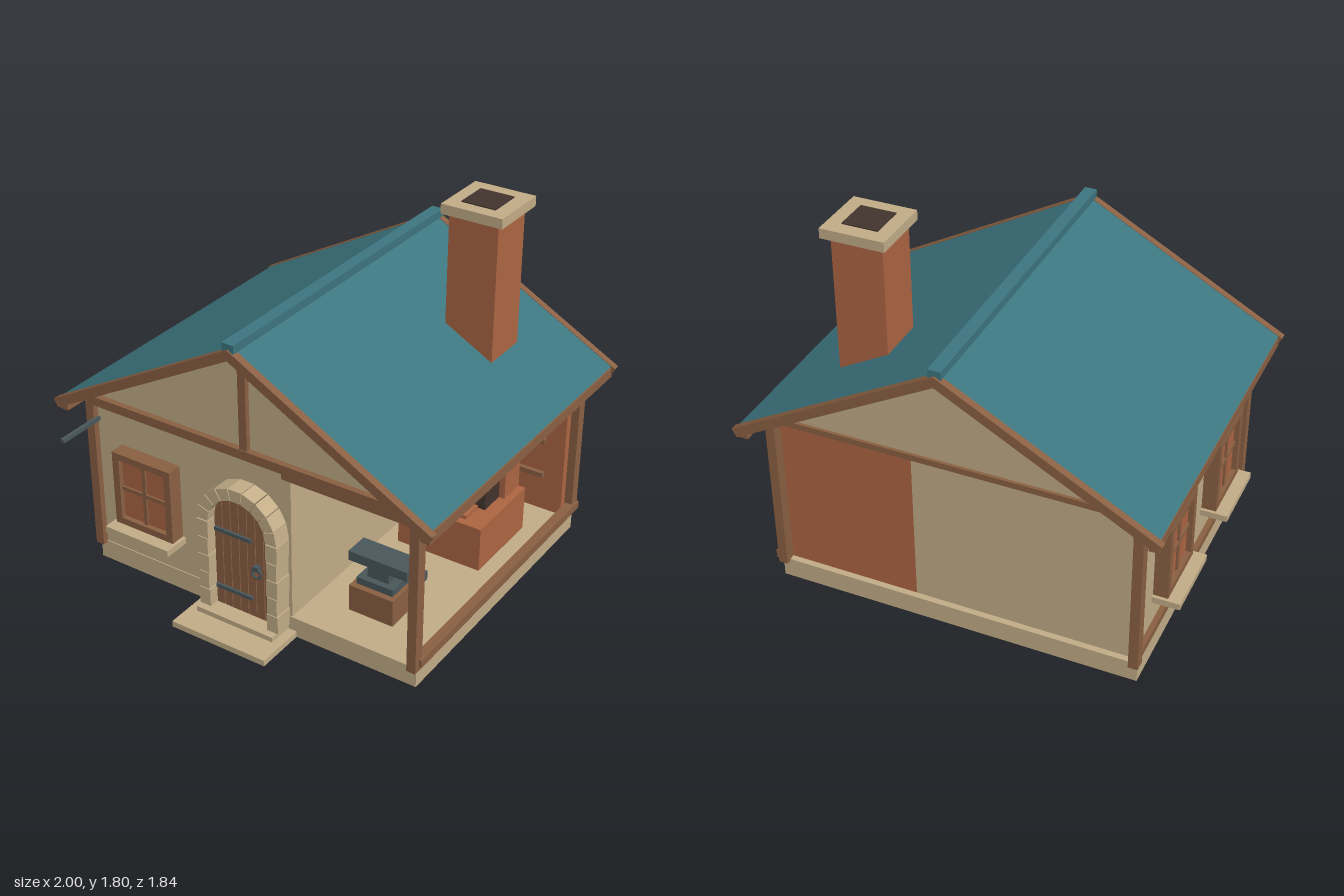
import * as THREE from 'three';

const mat = (name, color) => {
  const m = new THREE.MeshStandardMaterial({ color });
  m.name = name;
  return m;
};

export function createModel() {
  const root = new THREE.Group();
  root.name = 'smithyCottage';
  const stone = mat('sandstone', 0xc4ae89);
  const wood = mat('timber', 0x8b6143);
  const brick = mat('brick', 0xae6643);
  const roofMat = mat('tealRoof', 0x3d7680);
  const iron = mat('iron', 0x4a585c);
  const dark = mat('soot', 0x43342e);

  const add = (name, geo, m, parent = root) => {
    const mesh = new THREE.Mesh(geo, m);
    mesh.name = name;
    parent.add(mesh);
    return mesh;
  };
  // Box given by its extents along x, y and z
  const box = (name, m, x0, x1, y0, y1, z0, z1, parent) => {
    const g = new THREE.BoxGeometry(x1 - x0, y1 - y0, z1 - z0);
    g.translate((x0 + x1) / 2, (y0 + y1) / 2, (z0 + z1) / 2);
    return add(name, g, m, parent);
  };
  // Outline in x and y, extruded from z0 to z1
  const prism = (name, m, pts, z0, z1, parent) => {
    const s = new THREE.Shape(pts.map(p => new THREE.Vector2(p[0], p[1])));
    const g = new THREE.ExtrudeGeometry(s, { depth: z1 - z0, bevelEnabled: false });
    g.translate(0, 0, z0);
    return add(name, g, m, parent);
  };

  // Plinth and door steps
  box('plinth', stone, -0.88, 0.88, 0, 0.1, -0.8, 0.67);
  box('lowerStep', stone, -0.255, 0.255, 0, 0.03, 0.67, 0.92);
  box('upperStep', stone, -0.21, 0.21, 0.03, 0.055, 0.67, 0.795);

  // Walls of the closed room and the brick back of the open forge
  box('frontWall', stone, -0.86, 0.23, 0.1, 0.87, 0.61, 0.665);
  box('leftWall', stone, -0.86, -0.81, 0.1, 0.87, -0.77, 0.61);
  box('partitionWall', stone, 0.18, 0.23, 0.1, 0.87, -0.735, 0.61);
  box('backWall', stone, -0.86, 0.2, 0.1, 0.87, -0.77, -0.735);
  box('forgeBackWall', brick, 0.2, 0.85, 0.1, 0.87, -0.77, -0.73);

  // Gables
  const gable = [[-0.83, 0.89], [0.83, 0.89], [0, 1.395]];
  prism('frontGable', stone, gable, 0.615, 0.665);
  prism('backGable', stone, gable, -0.77, -0.73);

  // Timber frame
  for (const s of [-1, 1]) {
    const a = s * 0.845, b = s * 0.89;
    for (const [z0, z1] of [[0.64, 0.695], [-0.825, -0.77]])
      box('cornerPost', wood, Math.min(a, b), Math.max(a, b), 0.09, 0.87, z0, z1);
    const c = s * 0.855, d = s * (s > 0 ? 0.903 : 0.885);
    box('sillBeam', wood, Math.min(c, d), Math.max(c, d), 0.11, 0.15, -0.82, 0.665);
    box('wallPlate', wood, Math.min(c, d), Math.max(c, d), 0.845, 0.9, -0.82, 0.69);
    const e = s * 0.935, f = s * 0.98;
    box('eaveBeam', wood, Math.min(e, f), Math.max(e, f), 0.835, 0.885, -0.9, 0.765);
  }
  box('frontTieBeam', wood, -0.88, 0.88, 0.86, 0.905, 0.63, 0.695);
  box('forgeLintel', wood, 0.2, 0.85, 0.83, 0.862, 0.62, 0.69);
  box('backTieBeam', wood, -0.86, 0.86, 0.865, 0.895, -0.785, -0.735);
  box('kingPost', wood, -0.02, 0.02, 0.905, 1.39, 0.66, 0.69);

  // Roof slopes, bargeboards and ridge
  const slope = (x, drop) => 1.435 - 0.548 * x - drop;
  for (const s of [-1, 1]) {
    const band = (x, top, bottom) => {
      const p = [[0, slope(0, top)], [0, slope(0, bottom)],
        [s * (x - 0.022), slope(x - 0.022, bottom)], [s * x, slope(x, top)]];
      return s > 0 ? p : p.reverse();
    };
    prism('roofSlope', roofMat, band(0.98, 0.003, 0.035), -0.885, 0.745);
    prism('bargeboard', wood, band(1, 0, 0.052), 0.745, 0.782);
    prism('bargeboard', wood, band(1, 0, 0.052), -0.92, -0.885);
  }
  box('ridgeCap', roofMat, -0.03, 0.03, 1.42, 1.46, -0.91, 0.775);

  // Chimney and forge
  box('chimneyStack', brick, 0.405, 0.65, 0.65, 1.75, -0.55, -0.31);
  box('chimneyCap', stone, 0.375, 0.68, 1.745, 1.793, -0.59, -0.285);
  box('flueOpening', dark, 0.44, 0.61, 1.79, 1.798, -0.52, -0.35);
  box('chimneyBreast', brick, 0.34, 0.715, 0.3, 0.85, -0.53, -0.39);
  box('forgeHearth', brick, 0.31, 0.75, 0.1, 0.328, -0.53, -0.1);
  box('hearthTile', brick, 0.4, 0.65, 0.328, 0.345, -0.25, -0.14);
  box('coalBed', dark, 0.37, 0.685, 0.328, 0.43, -0.39, -0.255);

  // Tool rack on the back wall
  for (const y of [0.3, 0.49, 0.68])
    box('toolRail', wood, 0.31, 0.75, y - 0.013, y + 0.013, -0.73, -0.707);
  for (const x of [0.4, 0.53, 0.68]) {
    box('hangingTool', iron, x - 0.01, x + 0.01, 0.45, 0.695, -0.698, -0.685);
    box('toolHead', iron, x - 0.03, x + 0.03, 0.45, 0.49, -0.698, -0.685);
  }

  // Anvil on its stump
  const anvil = new THREE.Group();
  anvil.name = 'anvil';
  root.add(anvil);
  box('stump', wood, 0.41, 0.64, 0.1, 0.235, 0.275, 0.48, anvil);
  box('anvilFoot', iron, 0.43, 0.62, 0.235, 0.27, 0.305, 0.45, anvil);
  box('anvilWaist', iron, 0.47, 0.58, 0.27, 0.337, 0.335, 0.42, anvil);
  box('anvilFace', iron, 0.38, 0.685, 0.337, 0.385, 0.315, 0.44, anvil);
  box('anvilHorn', iron, 0.685, 0.74, 0.326, 0.372, 0.358, 0.398, anvil);

  // Window built facing +z with its back on z = 0
  const makeWindow = () => {
    const w = new THREE.Group();
    w.name = 'window';
    for (const s of [-1, 1]) {
      const x = s * 0.148, y = s * 0.173;
      box('frameSide', wood, x - 0.018, x + 0.018, -0.19, 0.19, 0, 0.075, w);
      box('frameRail', wood, -0.13, 0.13, y - 0.017, y + 0.017, 0, 0.075, w);
    }
    box('pane', brick, -0.13, 0.13, -0.156, 0.156, 0, 0.05, w);
    box('mullion', wood, -0.01, 0.01, -0.156, 0.156, 0.05, 0.06, w);
    box('transom', wood, -0.13, 0.13, -0.01, 0.01, 0.05, 0.06, w);
    box('windowSill', stone, -0.182, 0.182, -0.222, -0.19, 0, 0.135, w);
    root.add(w);
    return w;
  };
  makeWindow().position.set(-0.545, 0.49, 0.665);
  for (const z of [0.245, -0.41]) {
    const w = makeWindow();
    w.position.set(-0.855, 0.5, z);
    w.rotation.y = -Math.PI / 2;
  }

  // Arched plank door
  const door = new THREE.Group();
  door.name = 'door';
  root.add(door);
  const R = 0.157, R2 = 0.217, cy = 0.52, y0 = 0.055;
  const top = x => cy + Math.sqrt(Math.max(0, R * R - x * x));
  const leaf = [[-R, y0], [R, y0]];
  for (let i = 0; i <= 20; i++) {
    const a = Math.PI * i / 20;
    leaf.push([R * Math.cos(a), cy + R * Math.sin(a)]);
  }
  prism('doorBacking', dark, leaf, 0.66, 0.69, door);
  const planks = 7, pw = 2 * R / planks;
  for (let i = 0; i < planks; i++) {
    const a = -R + i * pw + 0.002, b = a + pw - 0.004;
    const pts = [[a, y0], [b, y0]];
    for (let k = 4; k >= 0; k--) {
      const x = a + (b - a) * k / 4;
      pts.push([x, top(x)]);
    }
    prism('doorPlank', wood, pts, 0.69, 0.71, door);
  }
  for (const y of [0.155, 0.465])
    box('strapHinge', iron, -0.15, 0.05, y - 0.009, y + 0.009, 0.71, 0.722, door);
  const ring = add('doorRing', new THREE.TorusGeometry(0.025, 0.006, 6, 16), iron, door);
  ring.position.set(0.082, 0.312, 0.725);
  box('ringPlate', iron, 0.068, 0.096, 0.325, 0.35, 0.71, 0.735, door);

  // Stone door surround: jamb blocks and arch wedges
  for (const s of [-1, 1]) for (let i = 0; i < 5; i++) {
    const h = (cy - y0) / 5, x = s * (R + R2) / 2, w = (R2 - R) / 2 - (i % 2) * 0.004;
    box('jambStone', stone, x - w, x + w, y0 + i * h, y0 + (i + 1) * h - 0.004, 0.66, 0.76, door);
  }
  for (let i = 0; i < 9; i++) {
    const a = Math.PI * i / 9 + 0.012, b = Math.PI * (i + 1) / 9 - 0.012;
    const at = (r, t) => [r * Math.cos(t), cy + r * Math.sin(t)];
    prism('archStone', stone, [at(R, a), at(R2, a), at(R2, b), at(R, b)], 0.66, 0.76, door);
  }

  // Iron sign bracket at the front corner
  box('signBracket', iron, -0.85, -0.832, 0.77, 0.79, 0.66, 0.915);

  return root;
}
